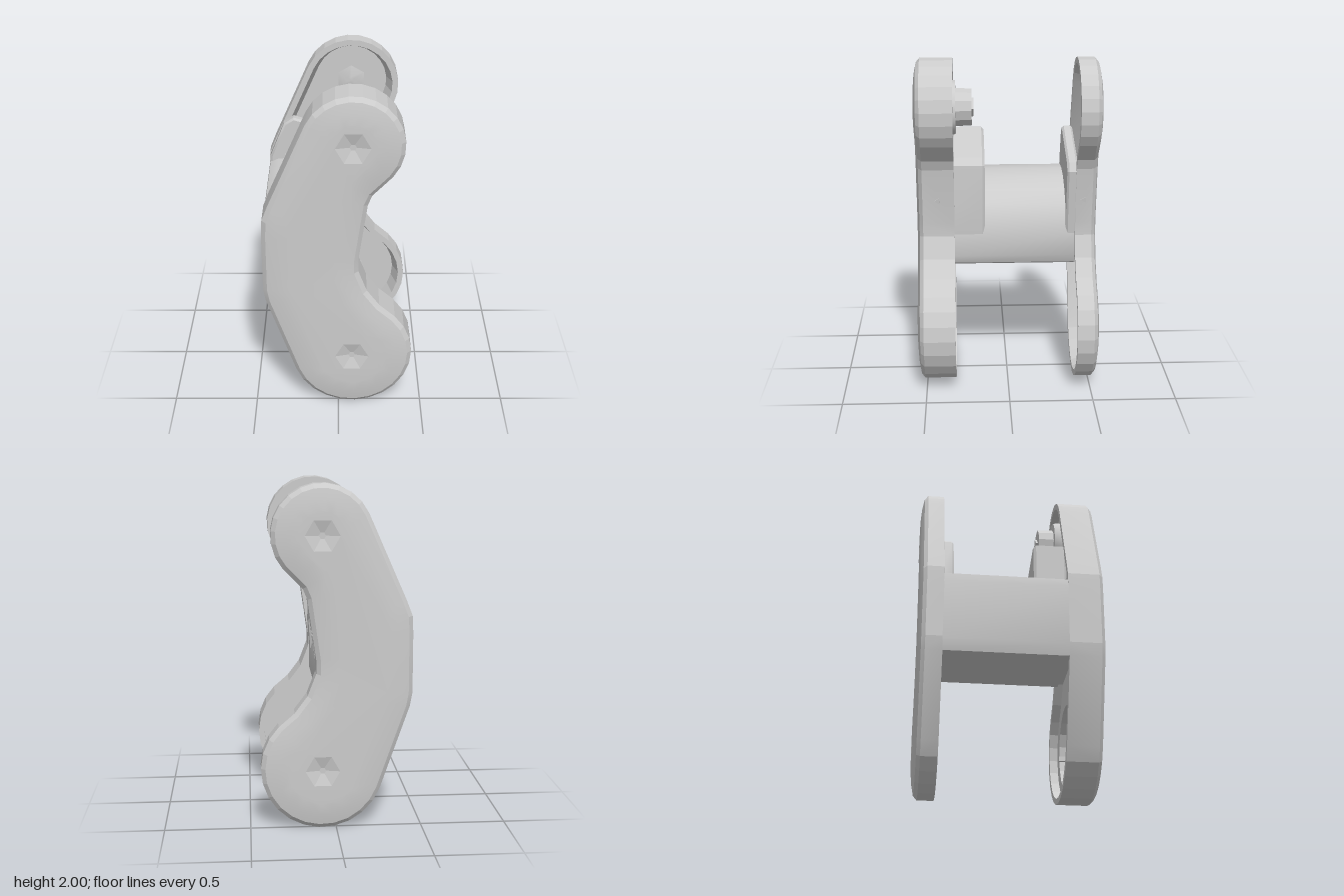
import * as THREE from 'three';
import { toCreasedNormals } from 'three/addons/utils/BufferGeometryUtils.js';

const grey = new THREE.MeshStandardMaterial({ color: 0xcccccc });
const V = (x, y) => new THREE.Vector2(x, y);
const pts = (...a) => a.map(([x, y]) => V(x, y));
const UPPER = [0.08, 1.71], LOWER = [0.08, 0.35];

// points along an arc, angles in degrees
function arc([cx, cy], r, a0, a1, n) {
  return Array.from({ length: n + 1 }, (_, i) => {
    const a = THREE.MathUtils.degToRad(a0 + (a1 - a0) * i / n);
    return V(cx + r * Math.cos(a), cy + r * Math.sin(a));
  });
}
const circle = (c, r, n) => arc(c, r, 0, 360, n).slice(0, n);

// counter-clockwise outline of a side plate: two round ends and a bent waist
const outline = [
  ...arc([0.08, 0.357], 0.357, -160, 45, 14),
  ...pts([0.24, 0.69], [0.165, 0.79], [0.115, 0.92], [0.115, 1.0], [0.165, 1.35], [0.19, 1.41], [0.235, 1.455]),
  ...arc(UPPER, 0.29, -40, 155, 13),
  ...pts([-0.4, 1.34], [-0.435, 1.25], [-0.44, 1.15], [-0.44, 0.8], [-0.425, 0.72]),
];

// mitred inward offset of a closed outline
function inset(loop, d) {
  const n = loop.length;
  return loop.map((p, i) => {
    const e0 = p.clone().sub(loop[(i + n - 1) % n]).normalize();
    const e1 = loop[(i + 1) % n].clone().sub(p).normalize();
    const m = V(-e0.y - e1.y, e0.x + e1.x).normalize();
    return p.clone().addScaledVector(m, d / (m.x * -e0.y + m.y * e0.x));
  });
}

// collects flat faces and strips between loops into one geometry
class Shell {
  constructor() { this.p = []; }
  tri(a, za, b, zb, c, zc) { this.p.push(a.x, a.y, za, b.x, b.y, zb, c.x, c.y, zc); }
  strip(a, za, b, zb) {
    a.forEach((p, i) => {
      const j = (i + 1) % a.length;
      this.tri(p, za, a[j], za, b[j], zb);
      this.tri(p, za, b[j], zb, b[i], zb);
    });
  }
  face(loop, holes, z, up) {
    const all = [loop, ...holes].flat();
    for (const [i, j, k] of THREE.ShapeUtils.triangulateShape(loop, holes)) {
      const s = (all[j].x - all[i].x) * (all[k].y - all[i].y) - (all[j].y - all[i].y) * (all[k].x - all[i].x);
      const [b, c] = (s > 0) === up ? [j, k] : [k, j];
      this.tri(all[i], z, all[b], z, all[c], z);
    }
  }
  geometry(mirror) {
    const p = this.p;
    if (mirror) {
      for (let t = 0; t < p.length; t += 9) {
        for (let k = 0; k < 3; k++) [p[t + 3 + k], p[t + 6 + k]] = [p[t + 6 + k], p[t + 3 + k]];
        for (let k = 2; k < 9; k += 3) p[t + k] *= -1;
      }
    }
    const g = new THREE.BufferGeometry();
    g.setAttribute('position', new THREE.Float32BufferAttribute(p, 3));
    return toCreasedNormals(g, 0.16);
  }
}

// side plate: inner face at z = 0, softly domed outer face at z = depth,
// recesses floorZ deep with walls that lean in by taper
function plate(depth, { mirror, floorZ, taper, well }) {
  const s = new Shell();
  const rings = [[0, 0], [0, depth - 0.04], [0.025, depth - 0.018], [0.085, depth - 0.006], [0.15, depth]]
    .map(([d, z]) => [inset(outline, d), z]);
  for (let i = 0; i < 4; i++) s.strip(...rings[i], ...rings[i + 1]);

  // outer cap with a shallow faceted dimple over each round end
  const dimples = [UPPER, LOWER].map((c) => circle(c, 0.1, 6));
  s.face(rings[4][0], dimples, depth, true);
  dimples.forEach((ring, i) => {
    const floor = circle([UPPER, LOWER][i], 0.02, 6);
    s.strip(ring, depth, floor, depth - 0.02);
    s.face(floor, [], depth - 0.02, true);
  });

  // inner face with a rimmed recess in each end
  const ends = [(p) => p.y > 1.24, (p) => p.y < 0.81];
  const recess = (d) => ends.map((end) => inset(outline, d).filter((_, i) => end(outline[i])));
  const mouths = recess(0.035), floors = recess(0.035 + taper);
  s.face(outline, mouths, 0, false);
  floors.forEach((f, i) => {
    s.strip(f, floorZ, mouths[i], 0);
    if (well && i === 1) {
      const w = circle(LOWER, 0.25, 20);
      s.face(f, [w], floorZ, false);
      s.strip(w, 0.14, w, floorZ);
      s.face(w, [], 0.14, false);
    } else s.face(f, [], floorZ, false);
  });
  return s.geometry(mirror);
}

function add(parent, name, geo, x = 0, y = 0, z = 0) {
  const m = new THREE.Mesh(geo, grey);
  m.name = name;
  m.position.set(x, y, z);
  parent.add(m);
  return m;
}

// extruded xy profile between two z values, with optional small bevel
function slab(profile, z0, z1, b = 0) {
  const g = new THREE.ExtrudeGeometry(new THREE.Shape(profile), {
    depth: z1 - z0 - 2 * b, bevelEnabled: b > 0, bevelSize: b, bevelThickness: b,
    bevelOffset: -b, bevelSegments: 1,
  });
  g.translate(0, 0, z0 + b);
  return toCreasedNormals(g, 0.45);
}

// round peg along z
function peg(r0, r1, z0, z1, sides) {
  const g = new THREE.CylinderGeometry(r1, r0, z1 - z0, sides);
  g.rotateX(Math.PI / 2).translate(0, 0, (z0 + z1) / 2);
  return toCreasedNormals(g, 0.45);
}

export function createModel() {
  const model = new THREE.Group();
  model.name = 'bracket';

  // side plates
  add(model, 'frontPlate', plate(0.23, { mirror: false, floorZ: 0.05, taper: 0, well: true }), 0, 0, 0.32);
  add(model, 'backPlate', plate(0.14, { mirror: true, floorZ: 0.1, taper: 0.035, well: false }), 0, 0, -0.41);

  // cross body joining the plates, with a rounded top
  add(model, 'crossBody', slab(pts(
    [-0.42, 0.72], [0.05, 0.72], [0.09, 0.74], [0.11, 0.79], [0.11, 0.93], [0.09, 1.02], [0.05, 1.1],
    [-0.03, 1.17], [-0.14, 1.22], [-0.26, 1.24], [-0.38, 1.235], [-0.43, 1.21], [-0.44, 1.16], [-0.44, 0.79]),
  -0.412, 0.322));

  // raised pads against each plate, sloping down toward the open side
  add(model, 'frontPad', slab(pts(
    [-0.32, 0.93], [0.11, 0.93], [0.12, 1.1], [0.11, 1.36], [0.07, 1.4], [-0.26, 1.51], [-0.31, 1.5]),
  0.135, 0.335, 0.015));
  add(model, 'backPad', slab(pts(
    [-0.42, 0.93], [0.11, 0.93], [0.16, 1.33], [0.13, 1.38], [-0.28, 1.51], [-0.34, 1.47], [-0.43, 1.25]),
  -0.42, -0.355, 0.012));

  // pivot stud in the upper recess of the front plate
  const stud = new THREE.Group();
  stud.name = 'pivotStud';
  stud.position.set(...UPPER, 0);
  model.add(stud);
  add(stud, 'studBase', peg(0.16, 0.17, 0.305, 0.375, 16));
  add(stud, 'studCollar', peg(0.11, 0.115, 0.21, 0.32, 12));
  add(stud, 'studTip', peg(0.055, 0.06, 0.198, 0.23, 4));

  // bolt and locating tabs in the lower well
  add(model, 'wellBolt', peg(0.025, 0.05, 0.435, 0.465, 6), ...LOWER, 0);
  for (const s of [-1, 1]) {
    add(model, 'wellTab', new THREE.BoxGeometry(0.03, 0.03, 0.045), LOWER[0] + s * 0.245, LOWER[1], 0.388);
  }

  // low faceted bosses inside the back plate, behind the dimples
  for (const c of [UPPER, LOWER]) add(model, 'backBoss', peg(0.1, 0.02, -0.512, -0.495, 6), ...c, 0);

  // small triangular marks on the waist edges
  for (const z of [0.42, -0.46]) {
    const mark = new THREE.CylinderGeometry(0.022, 0.022, 0.008, 3);
    mark.rotateZ(-Math.PI / 2);
    add(model, 'edgeMark', toCreasedNormals(mark, 0.4), 0.136, 1.15, z).rotation.z = -0.14;
  }
  return model;
}
